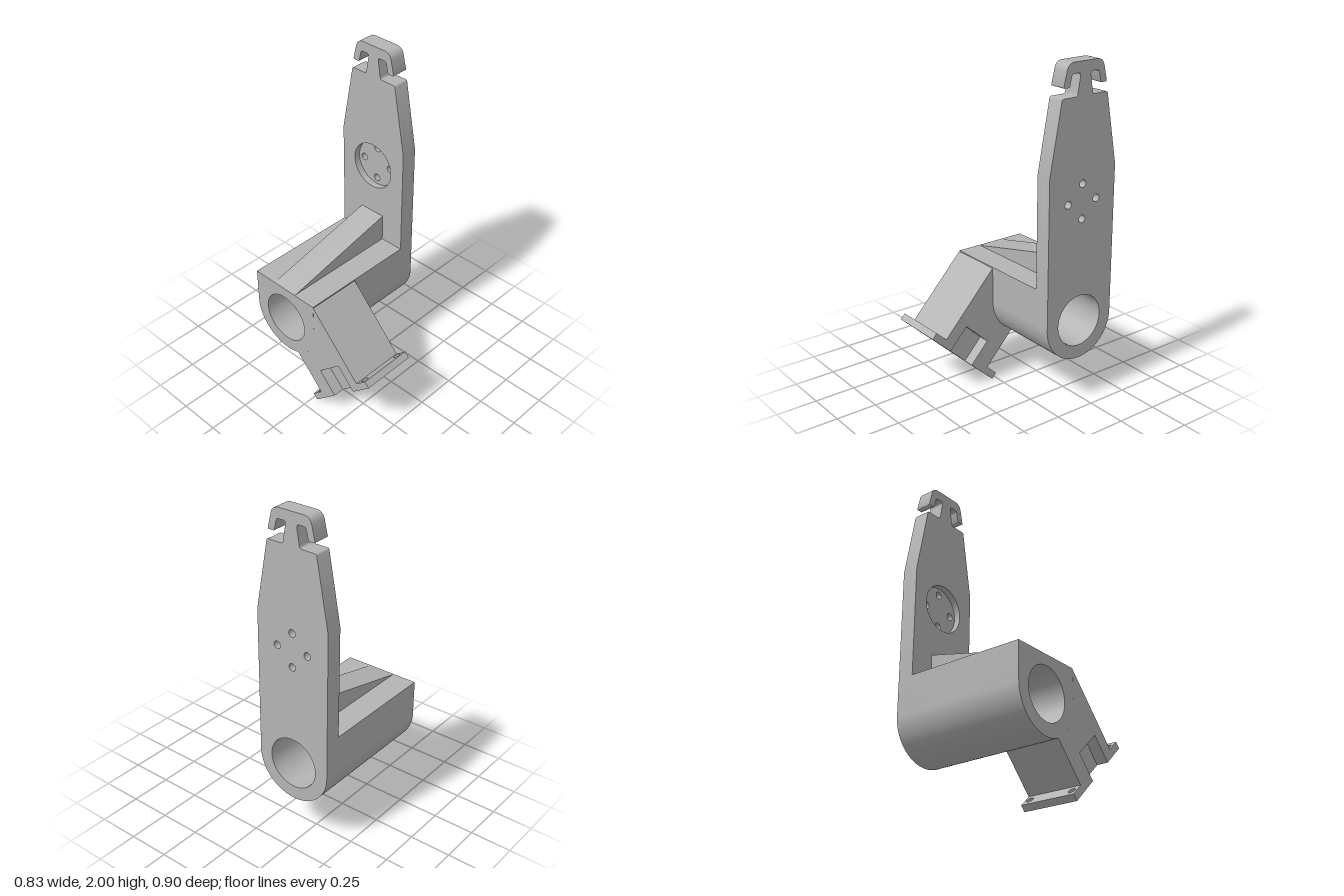
import * as THREE from 'three';
import { toCreasedNormals } from 'three/addons/utils/BufferGeometryUtils.js';

const grey = new THREE.MeshStandardMaterial({ color: 0xb4b4b4 });
grey.name = 'grey';

// Profiles are drawn as (s, y) with s = -z and extruded along x.
const C = 0.215, BORE_Y = 0.515, R = 0.235, BORE_R = 0.155;
const FOOT_Y = 0.2025, FOOT_Z = 0.24, TILT = 0.82;

function addMesh(parent, name, geometry) {
  const mesh = new THREE.Mesh(toCreasedNormals(geometry, 0.5), grey);
  mesh.name = name;
  parent.add(mesh);
  return mesh;
}

function extrudeX(parent, name, shape, x0, x1) {
  const geo = new THREE.ExtrudeGeometry(shape, { depth: x1 - x0, bevelEnabled: false, curveSegments: 32 });
  geo.translate(0, 0, x0).rotateY(Math.PI / 2);
  return addMesh(parent, name, geo);
}

function addHole(shape, x, y, r) {
  shape.holes.push(new THREE.Path().absarc(x, y, r, 0, Math.PI * 2, true));
}

// Upright plate with tapered shoulders and a double hook on top
function plateShape() {
  const s = new THREE.Shape();
  s.absarc(C, BORE_Y, R, Math.PI, Math.PI * 2, false);
  const L = (d, y) => s.lineTo(C + d, y);
  const Q = (cx, cy, d, y) => s.quadraticCurveTo(C + cx, cy, C + d, y);
  L(R, 1.4);
  L(0.161, 1.805); Q(0.159, 1.816, 0.148, 1.816);
  L(0.068, 1.816); Q(0.054, 1.816, 0.052, 1.83);
  L(0.037, 1.92); Q(0.034, 1.94, 0.052, 1.94);
  L(0.078, 1.94); Q(0.093, 1.94, 0.096, 1.925);
  L(0.107, 1.877); Q(0.108, 1.87, 0.115, 1.87);
  L(0.142, 1.87); Q(0.151, 1.87, 0.149, 1.88);
  L(0.131, 1.955); Q(0.122, 2, 0.08, 2);
  // mirrored half
  L(-0.08, 2); Q(-0.122, 2, -0.131, 1.955);
  L(-0.149, 1.88); Q(-0.151, 1.87, -0.142, 1.87);
  L(-0.115, 1.87); Q(-0.108, 1.87, -0.107, 1.877);
  L(-0.096, 1.925); Q(-0.093, 1.94, -0.078, 1.94);
  L(-0.052, 1.94); Q(-0.034, 1.94, -0.037, 1.92);
  L(-0.052, 1.83); Q(-0.054, 1.816, -0.068, 1.816);
  L(-0.148, 1.816); Q(-0.159, 1.816, -0.161, 1.805);
  L(-R, 1.4);
  s.closePath();
  addHole(s, C, BORE_Y, BORE_R);
  return s;
}

// Point on the tilted leg: u along the foot, v up into the leg
function legPoint(u, v) {
  const sin = Math.sin(TILT), cos = Math.cos(TILT);
  return [-(FOOT_Z + u * sin - v * cos), FOOT_Y + u * cos + v * sin];
}

// Leg profile, ending on the curved wall of the bore housing
function legShape(notched) {
  const s = new THREE.Shape();
  s.moveTo(...legPoint(0.2, 0));
  s.lineTo(...legPoint(0.2, 0.535));
  s.lineTo(C - R, BORE_Y);
  s.absarc(C, BORE_Y, R, Math.PI, 4.311, false);
  s.lineTo(...legPoint(-0.2, 0));
  if (notched) {
    [[-0.082, 0], [-0.082, 0.17], [0.123, 0.17], [0.123, 0]].forEach(p => s.lineTo(...legPoint(...p)));
  }
  s.closePath();
  return s;
}

export function createModel() {
  const model = new THREE.Group();
  model.name = 'bracket';

  // Upright plate: inner layer has the round pocket, outer layer the screw holes
  const upright = new THREE.Group();
  upright.name = 'uprightPlate';
  model.add(upright);
  const inner = plateShape();
  addHole(inner, C, 1.228, 0.144);
  extrudeX(upright, 'plateInnerLayer', inner, 0.315, 0.355);
  const outer = plateShape();
  for (let i = 0; i < 4; i++) {
    const a = i * Math.PI / 2;
    addHole(outer, C + 0.101 * Math.cos(a), 1.228 + 0.101 * Math.sin(a), 0.022);
  }
  extrudeX(upright, 'plateOuterLayer', outer, 0.355, 0.415);

  // Bore housing
  const body = new THREE.Shape();
  body.absarc(C, BORE_Y, R, Math.PI, Math.PI * 2, false);
  body.lineTo(C + R, 0.735);
  body.lineTo(C - R, 0.735);
  body.closePath();
  addHole(body, C, BORE_Y, BORE_R);
  extrudeX(model, 'boreHousing', body, -0.418, 0.315);

  // Sloping rib on top of the housing
  const rib = new THREE.Shape([[-0.41, 0.735], [0.315, 0.735], [0.315, 0.905]].map(p => new THREE.Vector2(...p)));
  const ribGeo = new THREE.ExtrudeGeometry(rib, { depth: 0.17, bevelEnabled: false });
  addMesh(model, 'supportRib', ribGeo.translate(0, 0, -0.3));

  // Tilted leg: notched cheeks on both sides of a solid core
  const leg = new THREE.Group();
  leg.name = 'leg';
  model.add(leg);
  extrudeX(leg, 'legRightCheek', legShape(true), -0.418, -0.35);
  extrudeX(leg, 'legCore', legShape(false), -0.35, -0.152);
  extrudeX(leg, 'legLeftCheek', legShape(true), -0.152, -0.082);

  // Foot flanges with two screw holes each
  const foot = new THREE.Group();
  foot.name = 'foot';
  foot.position.set(-0.25, FOOT_Y, FOOT_Z);
  foot.rotation.x = TILT;
  leg.add(foot);
  for (const side of [1, -1]) {
    const w = 0.168, y0 = side > 0 ? 0.2 : -0.29, y1 = y0 + 0.09;
    const f = new THREE.Shape([[-w, y0], [w, y0], [w, y1], [-w, y1]].map(p => new THREE.Vector2(...p)));
    for (const x of [-0.134, 0.134]) addHole(f, x, side * 0.245, 0.021);
    const geo = new THREE.ExtrudeGeometry(f, { depth: 0.042, bevelEnabled: false, curveSegments: 16 });
    addMesh(foot, side > 0 ? 'upperFlange' : 'lowerFlange', geo.translate(0, 0, -0.042));
  }
  return model;
}
